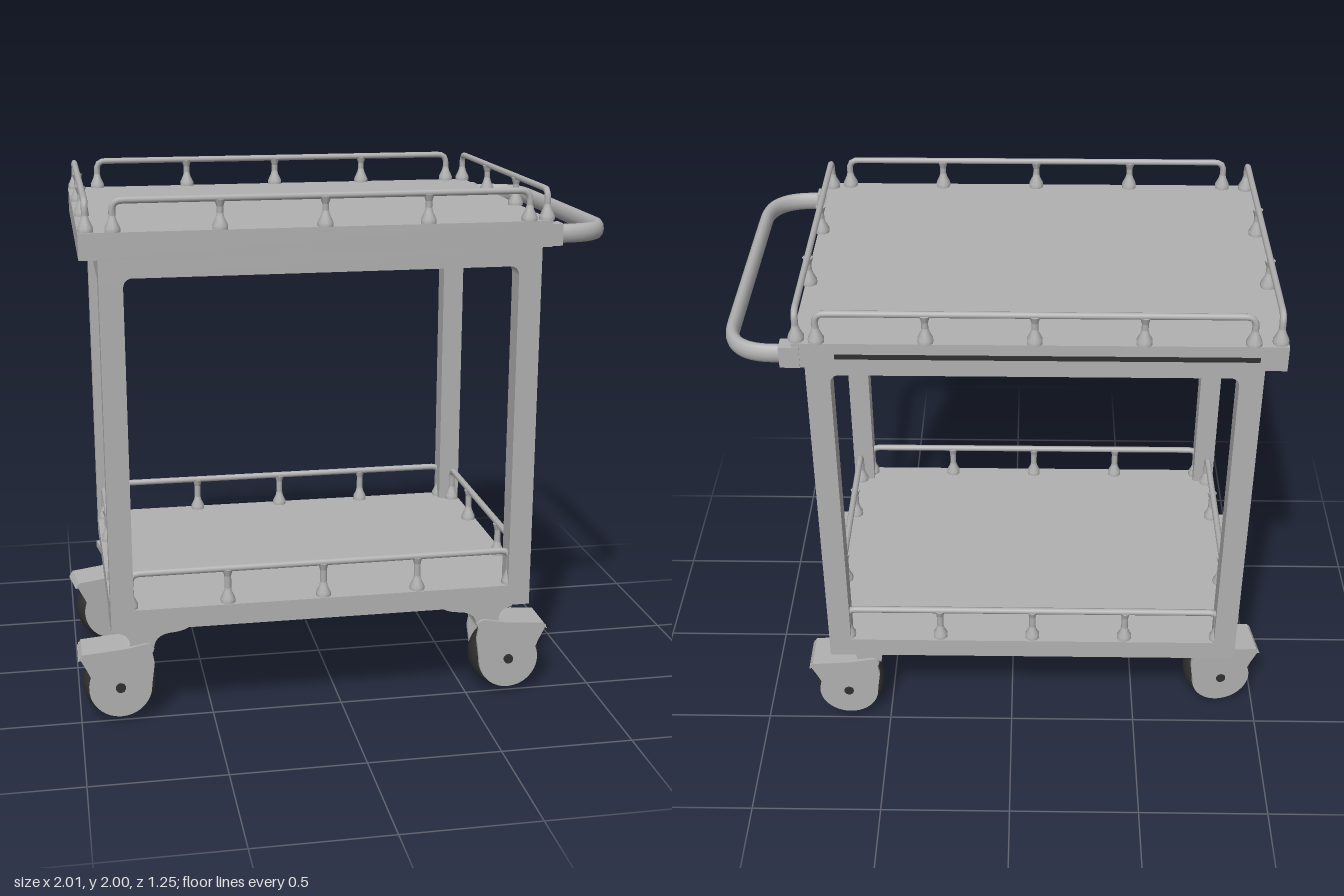
import * as THREE from 'three';

const grey = new THREE.MeshStandardMaterial({ color: 0xb0b0b0 });
grey.name = 'satin grey';
const dark = new THREE.MeshStandardMaterial({ color: 0x303030 });
dark.name = 'black rubber';

const V = (x, y, z) => new THREE.Vector3(x, y, z);

function add(parent, name, geometry, material = grey) {
  const mesh = new THREE.Mesh(geometry, material);
  mesh.name = name;
  parent.add(mesh);
  return mesh;
}

// Box given by its limits on each axis
function box(parent, name, [x0, x1], [y0, y1], [z0, z1], material = grey) {
  const g = new THREE.BoxGeometry(x1 - x0, y1 - y0, z1 - z0);
  g.translate((x0 + x1) / 2, (y0 + y1) / 2, (z0 + z1) / 2);
  return add(parent, name, g, material);
}

// Polyline with rounded corners
function roundedPath(points, r) {
  const path = new THREE.CurvePath();
  let last = points[0];
  for (let i = 1; i < points.length - 1; i++) {
    const p = points[i];
    const a = p.clone().add(points[i - 1].clone().sub(p).setLength(r));
    const b = p.clone().add(points[i + 1].clone().sub(p).setLength(r));
    path.add(new THREE.LineCurve3(last, a));
    path.add(new THREE.QuadraticBezierCurve3(a, p, b));
    last = b;
  }
  path.add(new THREE.LineCurve3(last, points[points.length - 1]));
  return path;
}

// Guard rail: bent bar with flared feet under each post
function rail(parent, name, a, b, height, posts, r) {
  const group = new THREE.Group();
  group.name = name;
  const up = V(0, height - r, 0);
  const path = roundedPath([a, a.clone().add(up), b.clone().add(up), b], 0.035);
  add(group, 'railBar', new THREE.TubeGeometry(path, 100, r, 8));
  const foot = [[0.028, 0], [0.028, 0.015], [0.016, 0.04], [r * 0.9, 0.06]]
    .map(([x, y]) => new THREE.Vector2(x, y));
  for (const t of [0, ...posts, 1]) {
    const p = a.clone().lerp(b, t);
    const f = add(group, 'postFoot', new THREE.LatheGeometry(foot, 10));
    f.position.copy(p);
    if (t > 0 && t < 1) {
      const post = add(group, 'post', new THREE.CylinderGeometry(r, r, height - r, 8));
      post.position.copy(p).y += (height - r) / 2;
      const collar = add(group, 'postCollar', new THREE.CylinderGeometry(0.02, r, 0.025, 8));
      collar.position.copy(p).y += height - r - 0.016;
    }
  }
  parent.add(group);
}

function extrude(shape, depth) {
  const g = new THREE.ExtrudeGeometry(shape, { depth, bevelEnabled: false, curveSegments: 20 });
  return g.translate(0, 0, -depth / 2);
}

// Castor: wheel centre at the origin, trailing towards -x from its mounting plate
function castor(name) {
  const group = new THREE.Group();
  group.name = name;

  const tread = [[0.02, -0.06], [0.105, -0.06], [0.125, -0.052], [0.137, -0.03], [0.14, 0],
    [0.137, 0.03], [0.125, 0.052], [0.105, 0.06], [0.02, 0.06]].map(p => new THREE.Vector2(...p));
  add(group, 'tyre', new THREE.LatheGeometry(tread, 32).rotateX(Math.PI / 2), dark);

  // Fork cheeks with round lower edge
  const cheek = new THREE.Shape();
  cheek.moveTo(-0.15, 0.13);
  cheek.lineTo(-0.122, 0.075);
  cheek.absarc(0, 0, 0.118, 2.75, Math.PI * 2, false);
  cheek.lineTo(0.13, 0.09);
  cheek.lineTo(0.12, 0.15);
  cheek.lineTo(-0.05, 0.15);
  for (const s of [-1, 1]) {
    add(group, 'forkCheek', extrude(cheek, 0.015)).position.z = s * 0.07;
    const axle = add(group, 'axleCap', new THREE.CylinderGeometry(0.019, 0.019, 0.008, 14), dark);
    axle.rotation.x = Math.PI / 2;
    axle.position.z = s * 0.08;
  }

  // Hood over the wheel
  const hood = new THREE.Shape();
  hood.moveTo(-0.155, 0.118);
  hood.lineTo(-0.07, 0.135);
  hood.lineTo(0.125, 0.135);
  hood.lineTo(0.13, 0.15);
  hood.quadraticCurveTo(0.12, 0.17, 0.1, 0.17);
  hood.lineTo(0.02, 0.155);
  hood.lineTo(-0.14, 0.142);
  add(group, 'hood', extrude(hood, 0.155));

  // Flared neck up to the plate
  const neck = new THREE.Shape();
  neck.moveTo(0.04, 0.14);
  neck.lineTo(0.13, 0.14);
  neck.quadraticCurveTo(0.13, 0.2, 0.2, 0.205);
  neck.quadraticCurveTo(0.27, 0.21, 0.28, 0.245);
  neck.lineTo(-0.02, 0.245);
  neck.lineTo(-0.01, 0.215);
  neck.quadraticCurveTo(0.05, 0.21, 0.04, 0.14);
  add(group, 'neck', extrude(neck, 0.13));
  box(group, 'mountingPlate', [-0.03, 0.28], [0.235, 0.262], [-0.09, 0.09]);
  return group;
}

export function createModel() {
  const model = new THREE.Group();
  model.name = 'serviceTrolley';

  // Top tray and its supporting frame
  box(model, 'topTray', [-0.945, 0.745], [1.785, 1.88], [-0.615, 0.615]);
  const X = [-0.88, 0.715], Z = [-0.555, 0.595], w = 0.085;
  for (const z of [[Z[0], Z[0] + w], [Z[1] - w, Z[1]]]) box(model, 'longApron', X, [1.715, 1.79], z);
  for (const x of [[X[0], X[0] + w], [X[1] - w, X[1]]]) box(model, 'endApron', x, [1.7, 1.79], Z);

  // Legs with small fillets below the apron
  const gusset = new THREE.Shape();
  gusset.moveTo(0, 0);
  gusset.lineTo(0, -0.035);
  gusset.quadraticCurveTo(0.002, -0.002, 0.035, 0);
  for (const i of [0, 1]) for (const j of [0, 1]) {
    const sx = i ? -1 : 1, sz = j ? -1 : 1;
    const x = X[i] + sx * w, z = Z[j] + sz * w;
    box(model, 'leg', [Math.min(X[i], x), Math.max(X[i], x)], [0.4, 1.75], [Math.min(Z[j], z), Math.max(Z[j], z)]);
    const g1 = add(model, 'longGusset', extrude(gusset, w));
    g1.position.set(x, 1.716, (Z[j] + z) / 2);
    g1.rotation.y = i ? Math.PI : 0;
    const g2 = add(model, 'endGusset', extrude(gusset, w));
    g2.position.set((X[i] + x) / 2, 1.701, z);
    g2.rotation.y = -sz * Math.PI / 2;
  }

  // Lower shelf
  box(model, 'lowerShelf', X, [0.4, 0.48], Z);

  // Guard rails on the top tray
  for (const z of [-0.598, 0.598])
    rail(model, 'topLongRail', V(-0.825, 1.88, z), V(0.66, 1.88, z), 0.12, [0.25, 0.5, 0.75], 0.012);
  for (const x of [-0.917, 0.73])
    rail(model, 'topEndRail', V(x, 1.88, -0.585), V(x, 1.88, 0.585), 0.12, [0.33, 0.67], 0.012);

  // Guard rails on the lower shelf
  for (const z of [-0.525, 0.565])
    rail(model, 'lowerLongRail', V(-0.805, 0.48, z), V(0.64, 0.48, z), 0.145, [0.25, 0.5, 0.75], 0.013);
  for (const x of [-0.85, 0.685])
    rail(model, 'lowerEndRail', V(x, 0.48, -0.465), V(x, 0.48, 0.505), 0.145, [0.29, 0.74], 0.013);

  // Push handle, an oval bar taller than wide
  const path = roundedPath([V(0.72, 0, -0.588), V(0.975, 0, -0.588), V(0.975, 0, 0.565), V(0.72, 0, 0.565)], 0.17);
  const bar = new THREE.TubeGeometry(path, 80, 0.024, 12).scale(1, 1.45, 1);
  add(model, 'pushHandle', bar).position.y = 1.825;
  for (const z of [-0.588, 0.565]) box(model, 'handleSocket', [0.72, 0.79], [1.785, 1.865], [z - 0.03, z + 0.03]);
  box(model, 'handleSlot', [0.994, 1.0], [1.82, 1.835], [-0.38, 0.36], dark);

  // Dark groove along the rear tray edge
  box(model, 'rearGroove', [-0.85, 0.6], [1.82, 1.838], [-0.618, -0.612], dark);

  // Castors: x, z, heading
  const castors = [
    ['frontRightCastor', -0.85, 0.44, 0],
    ['backRightCastor', -0.85, -0.315, 0.15],
    ['frontLeftCastor', 0.665, 0.44, Math.PI],
    ['backLeftCastor', 0.665, -0.41, Math.PI],
  ];
  for (const [name, x, z, turn] of castors) {
    const c = castor(name);
    c.position.set(x, 0.14, z);
    c.rotation.y = turn;
    model.add(c);
  }
  return model;
}
